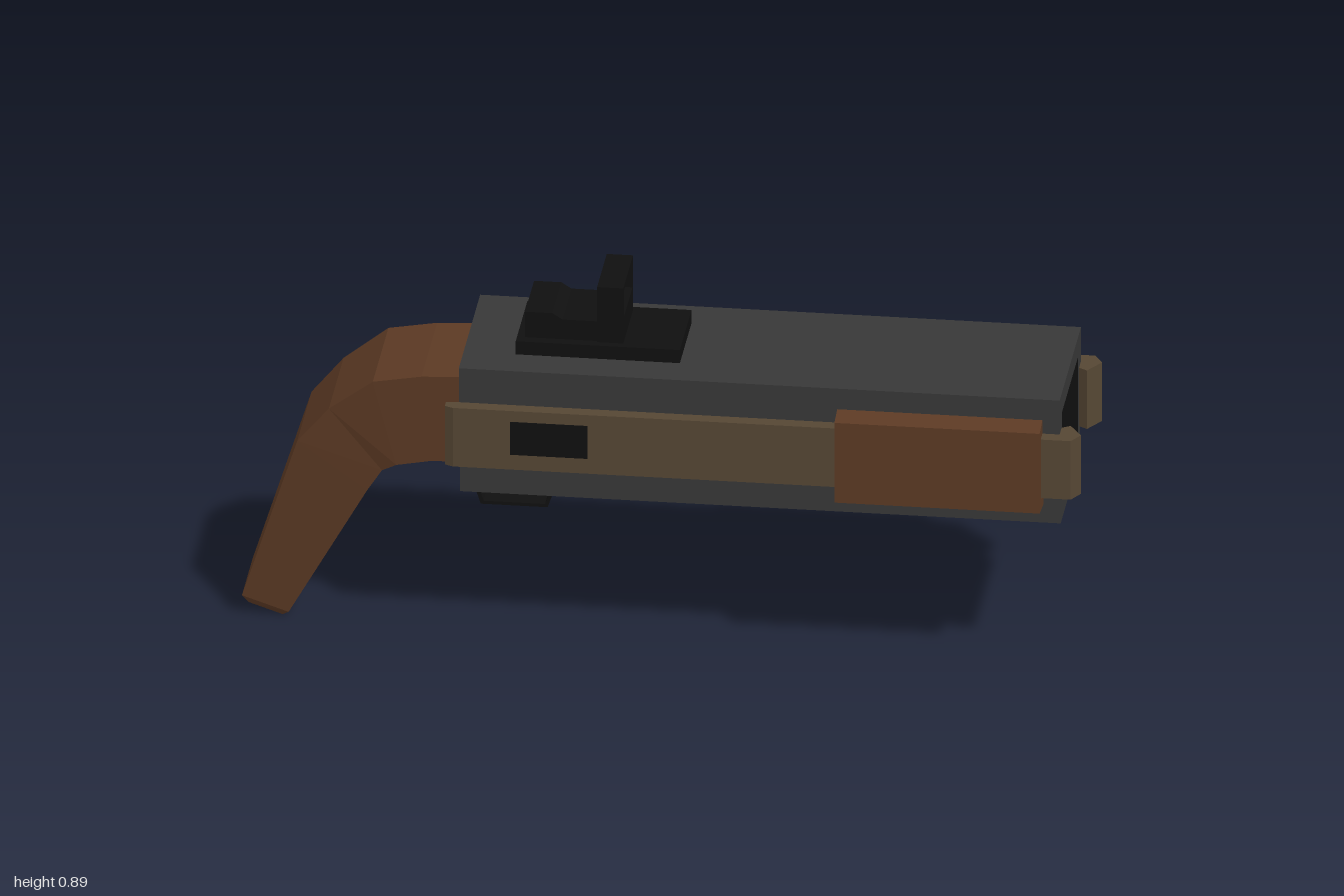
import * as THREE from 'three';

const mat = (color) => new THREE.MeshStandardMaterial({ color, flatShading: true });

export function createModel() {
  const group = new THREE.Group();
  const metal = mat(0x383838), wood = mat(0x5c3a24), brass = mat(0x564734), black = mat(0x101010);

  const add = (name, geometry, material) => {
    const mesh = new THREE.Mesh(geometry, material);
    mesh.name = name;
    group.add(mesh);
    return mesh;
  };
  const shapeOf = (pts) => new THREE.Shape(pts.map(([x, y]) => new THREE.Vector2(x, y)));
  const extrude = (shape, depth) =>
    new THREE.ExtrudeGeometry(shape, { depth, bevelEnabled: false, curveSegments: 8 });
  // Box given by its limits
  const box = (name, x0, x1, y0, y1, z0, z1, m) =>
    add(name, new THREE.BoxGeometry(x1 - x0, y1 - y0, z1 - z0)
      .translate((x0 + x1) / 2, (y0 + y1) / 2, (z0 + z1) / 2), m);
  // (z, y) profile swept along x
  const alongX = (shape, x0, x1) => extrude(shape, x1 - x0).rotateY(Math.PI / 2).translate(x0, 0, 0);
  // (x, y) profile swept across z, centred
  const acrossZ = (shape, half) => extrude(shape, half * 2).translate(0, 0, -half);
  const rect = (w, y0, y1) => [[-w, y0], [w, y0], [w, y1], [-w, y1]];

  // Hollow receiver, slightly narrower below the rails
  const body = shapeOf([
    [-0.183, 0.39], [0.183, 0.39], [0.183, 0.48], [0.202, 0.63],
    [0.202, 0.718], [-0.202, 0.718], [-0.202, 0.63], [-0.183, 0.48],
  ]);
  body.holes.push(shapeOf(rect(0.162, 0.44, 0.667)));
  add('receiver', alongX(body, -0.475, 0.945), metal);
  box('receiverBack', -0.475, -0.45, 0.44, 0.667, -0.162, 0.162, metal);

  // Dark bore lining
  const liner = shapeOf(rect(0.162, 0.44, 0.667));
  liner.holes.push(shapeOf(rect(0.159, 0.443, 0.664)));
  add('boreLining', alongX(liner, -0.45, 0.943), black);
  box('boreEnd', -0.45, -0.44, 0.443, 0.664, -0.159, 0.159, black);

  // Side rails and wooden fore grips, mirrored
  for (const s of [1, -1]) {
    const side = s > 0 ? 'Front' : 'Back';
    const rail = shapeOf([
      [-0.505, 0.205], [-0.505, 0.226], [-0.485, 0.235], [0.975, 0.235],
      [0.995, 0.2], [0.965, 0.152], [0.945, 0.165], [0.945, 0.17], [-0.475, 0.17], [-0.475, 0.2],
    ].map(([x, z]) => [x, s * z]));
    add('rail' + side, extrude(rail, 0.152).rotateX(Math.PI / 2).translate(0, 0.63, 0), brass);

    const grip = shapeOf([
      [0.207, 0.667], [0.261, 0.657], [0.261, 0.45], [0.188, 0.44],
      [0.188, 0.474], [0.238, 0.474], [0.238, 0.633], [0.207, 0.633],
    ].map(([z, y]) => [-s * z, y]));
    add('foreGrip' + side, alongX(grip, 0.42, 0.905), wood);
  }
  box('ejectionPort', -0.35, -0.167, 0.517, 0.602, 0.2, 0.2365, black);

  // Curved stock: [outer x, outer y, inner x, inner y, half width]
  const stations = [
    [-0.47, 0.67, -0.47, 0.448, 0.148],
    [-0.57, 0.665, -0.55, 0.445, 0.148],
    [-0.685, 0.645, -0.63, 0.43, 0.148],
    [-0.79, 0.565, -0.665, 0.41, 0.139],
    [-0.865, 0.475, -0.7, 0.355, 0.135],
    [-1.0, 0.05, -0.89, 0.012, 0.102],
    [-0.985, 0.03, -0.905, 0.002, 0.095],
  ];
  const pos = [], idx = [];
  stations.forEach(([ox, oy, ix, iy, w], i) => {
    pos.push(ox, oy, w, ox, oy, -w, ix, iy, -w * 0.97, ix, iy, w * 0.97);
    if (i === 0) return;
    const p = (i - 1) * 4, q = i * 4;
    for (let k = 0; k < 4; k++) {
      const n = (k + 1) % 4;
      idx.push(p + k, p + n, q + n, p + k, q + n, q + k);
    }
  });
  const e = (stations.length - 1) * 4;
  idx.push(e, e + 1, e + 2, e, e + 2, e + 3, 0, 2, 1, 0, 3, 2);
  const stock = new THREE.BufferGeometry();
  stock.setAttribute('position', new THREE.Float32BufferAttribute(pos, 3));
  stock.setIndex(idx);
  stock.computeVertexNormals();
  add('stock', stock, wood);

  // Sight: base, housing and window frame
  box('sightBase', -0.352, 0.036, 0.715, 0.752, -0.11, 0.11, black);
  add('sightHousing', acrossZ(shapeOf([
    [-0.333, 0.75], [-0.333, 0.818], [-0.268, 0.818], [-0.245, 0.803], [-0.16, 0.803], [-0.16, 0.75],
  ]), 0.085), black);
  const frame = shapeOf(rect(0.091, 0.75, 0.895));
  frame.holes.push(shapeOf(rect(0.082, 0.816, 0.883)));
  add('sightFrame', alongX(frame, -0.162, -0.1), black);

  // Trigger guard loop
  const guard = shapeOf([
    [-0.443, 0.393], [-0.46, 0.345], [-0.443, 0.293], [-0.285, 0.293], [-0.267, 0.345], [-0.285, 0.393],
  ]);
  guard.holes.push(shapeOf([
    [-0.436, 0.385], [-0.451, 0.345], [-0.436, 0.301], [-0.291, 0.301], [-0.276, 0.345], [-0.291, 0.385],
  ]));
  add('triggerGuard', acrossZ(guard, 0.043), black);
  box('triggerPlate', -0.455, -0.27, 0.383, 0.393, -0.05, 0.05, black);

  // Curved trigger
  const trigger = new THREE.Shape();
  trigger.moveTo(-0.405, 0.39);
  trigger.quadraticCurveTo(-0.41, 0.33, -0.342, 0.32);
  trigger.lineTo(-0.34, 0.328);
  trigger.quadraticCurveTo(-0.392, 0.34, -0.388, 0.39);
  add('trigger', acrossZ(trigger, 0.02), black);

  return group;
}
